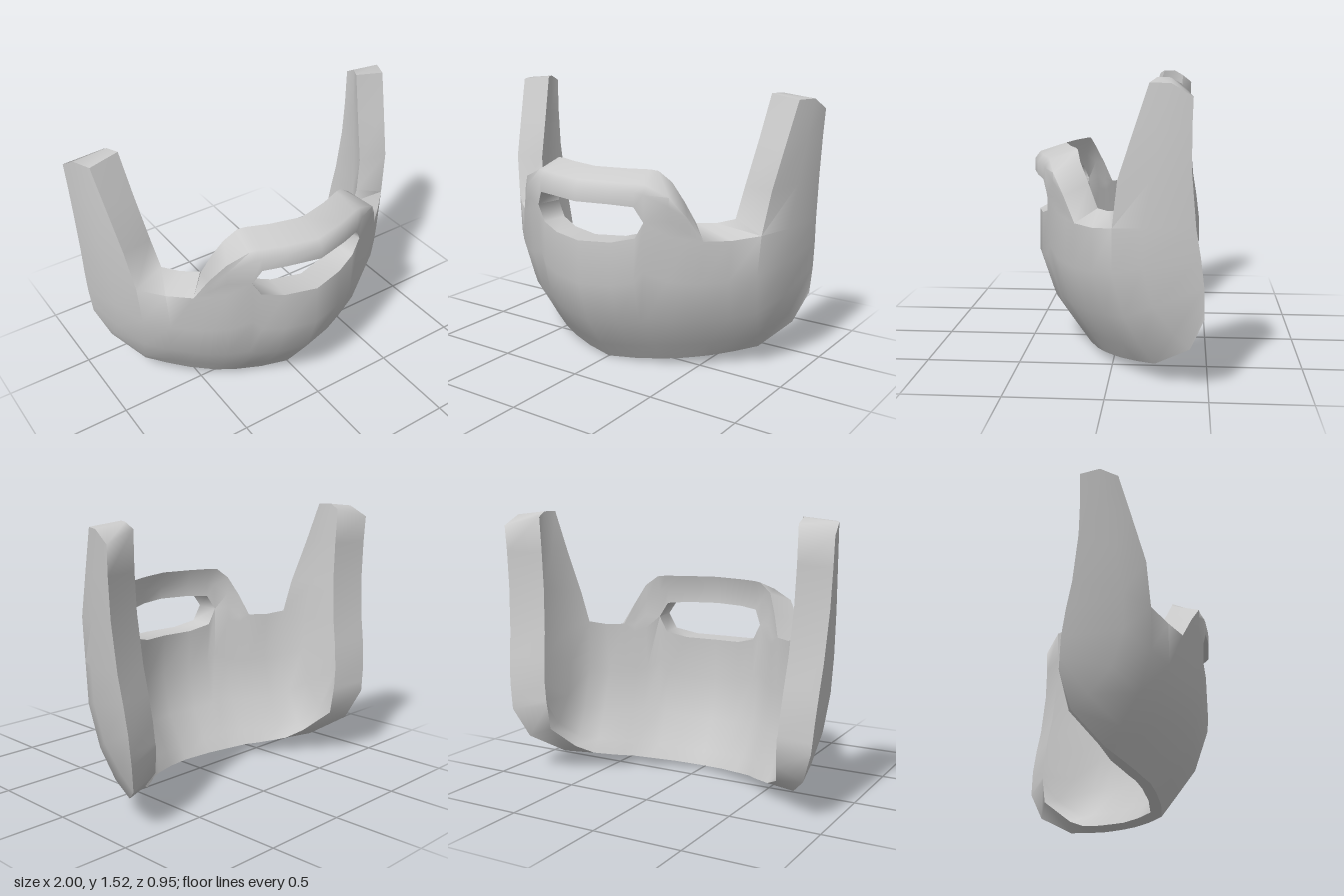
import * as THREE from 'three';
import { toCreasedNormals } from 'three/addons/utils/BufferGeometryUtils.js';

// piecewise-linear curve through [input, value] points
function curve(points, t) {
  if (t <= points[0][0]) return points[0][1];
  for (let i = 1; i < points.length; i++) {
    const [a, va] = points[i - 1], [b, vb] = points[i];
    if (t <= b) return va + (vb - va) * (t - a) / (b - a);
  }
  return points[points.length - 1][1];
}

// plan curve of the belt, and how width, depth and thickness change with height
const PLAN = [[0, 0.465], [0.18, 0.42], [0.345, 0.355], [0.42, 0.325], [0.6, 0.19], [0.71, 0.09], [0.82, -0.02], [0.9, -0.17], [0.94, -0.44]];
const WIDTH = [[0, 0.92], [0.1, 0.905], [0.23, 0.965], [0.4, 0.99], [0.6, 1.01], [1, 1.04], [1.5, 1.064]];
const SHIFT = [[0, -0.285], [0.27, -0.09], [0.54, 0], [0.75, -0.01], [0.98, 0.015], [1.05, 0.015], [1.09, -0.015], [1.2, 0]];
const THICK = [[0, 0.06], [0.12, 0.1], [0.5, 0.15], [0.8, 0.155], [1.1, 0.15]];
// depth of the back edge by height, and direction to the inner skin by belt position
const BACK = [[0.38, -0.475], [0.6, -0.47], [0.83, -0.43], [1.17, -0.4], [1.5, -0.41]];
const ANGLE = [[0, 0], [0.345, 8], [0.5, 33], [0.6, 45], [0.71, 62], [0.82, 80], [0.9, 92], [0.94, 105]];

// columns of one half: belt position, then heights of the lower edge, the
// sill line and the three rows above it (hole top, bar, rim)
const COLUMNS = [
  [0, 0.005, 0.76, 0.98, 1.05, 1.09],
  [0.18, 0.018, 0.768, 0.98, 1.05, 1.09],
  [0.3, 0.028, 0.8, 0.972, 1.05, 1.09],
  [0.345, 0.032, 0.89, 0.89, 1.04, 1.085],
  [0.46, 0.045, 0.82, 0.9, 0.98, 1.03],
  [0.535, 0.052, 0.8, 0.84, 0.88, 0.92],
  [0.6, 0.06, 0.79, 0.79, 0.79, 0.79],
  [0.71, 0.078, 0.79, 0.79, 0.79, 0.79],
  [0.82, 0.1, 0.81, 1.05, 1.3, 1.51],
  [0.9, 0.22, 0.83, 1.07, 1.3, 1.51],
  [0.94, 0.39, 0.84, 1.1, 1.3, 1.45],
];
const NOTCH = 6, FRONT = 8, MID = 9, LAST = 10;
const BODY_ROWS = [0, 0.13, 0.36, 0.68, 1];
// how far the lower inner edge sits above the outer one, toward the arms
const LOWER_LIFT = [[0.71, 0.02], [0.82, 0.045], [0.9, 0.06], [0.94, 0.03]];

// lattice corner on the outer or the inner skin
function corner(i, j, inner) {
  const c = Math.abs(i), [belt, low, sill, ...upper] = COLUMNS[c];
  let y = j <= 4 ? low + (sill - low) * BODY_ROWS[j] : upper[j - 5];
  const rise = Math.max(0, (y - 0.8) / 0.7);
  const u = belt + (c === FRONT ? 0.06 : c === MID ? 0.02 : 0) * rise;
  let x = u * curve(WIDTH, y);
  let z = c === LAST ? curve(BACK, y) : curve(PLAN, u) + curve(SHIFT, y);
  if (c === FRONT) z -= 0.07 * rise * rise;
  if (c === MID) z -= 0.4 * Math.max(0, 0.5 - y);
  if (inner) {
    const angle = THREE.MathUtils.degToRad(curve(ANGLE, belt));
    let t = curve(THICK, y);
    if (c === FRONT && y > 0.8) t = 0.175;
    if (c === MID) t = curve([[0.22, 0.15], [0.5, 0.185]], y);
    if (c === LAST) t = 0.215;
    x -= t * Math.sin(angle);
    z -= t * Math.cos(angle);
    if (j === 7) y += c === FRONT || c === MID ? 0.02 : 0.05;
    else if (j >= 4 && c >= NOTCH && (c < FRONT || (c === FRONT && j === 4))) y += 0.06;
    else if (j === 0) y += curve(LOWER_LIFT, belt);
  }
  return new THREE.Vector3(i < 0 ? -x : x, y, z);
}

// which cells are solid: body, arms, and the bar round the slot
function solid(i, j) {
  if (i < -LAST || i >= LAST || j < 0 || j > 6) return false;
  const c = i < 0 ? -i - 1 : i;
  if (j < 4 || c >= FRONT) return true;
  return c < NOTCH && (j > 4 || c >= 3);
}

function shellGeometry() {
  const positions = [];
  const tri = (a, b, c) => {
    const area = b.clone().sub(a).cross(c.clone().sub(a)).length();
    if (area > 1e-7) for (const p of [a, b, c]) positions.push(p.x, p.y, p.z);
  };
  const quad = (a, b, c, d) => { tri(a, b, c); tri(a, c, d); };
  for (let i = -LAST; i < LAST; i++) {
    for (let j = 0; j < 7; j++) {
      if (!solid(i, j)) continue;
      const ring = [[i, j], [i + 1, j], [i + 1, j + 1], [i, j + 1]];
      const out = ring.map(([a, b]) => corner(a, b, false));
      const inn = ring.map(([a, b]) => corner(a, b, true));
      quad(...out);
      quad(inn[3], inn[2], inn[1], inn[0]);
      // edge walls wherever there is no neighbouring cell
      [[i, j - 1], [i + 1, j], [i, j + 1], [i - 1, j]].forEach(([a, b], k) => {
        const n = (k + 1) % 4;
        if (!solid(a, b)) quad(out[k], inn[k], inn[n], out[n]);
      });
    }
  }
  const geometry = new THREE.BufferGeometry();
  geometry.setAttribute('position', new THREE.Float32BufferAttribute(positions, 3));
  return toCreasedNormals(geometry, 1.15);
}

export function createModel() {
  const group = new THREE.Group();
  group.name = 'curvedGuard';
  const shell = new THREE.Mesh(shellGeometry(),
    new THREE.MeshStandardMaterial({ color: 0xcccccc, side: THREE.DoubleSide }));
  shell.name = 'shellWithArmsAndHandle';
  group.add(shell);
  return group;
}
